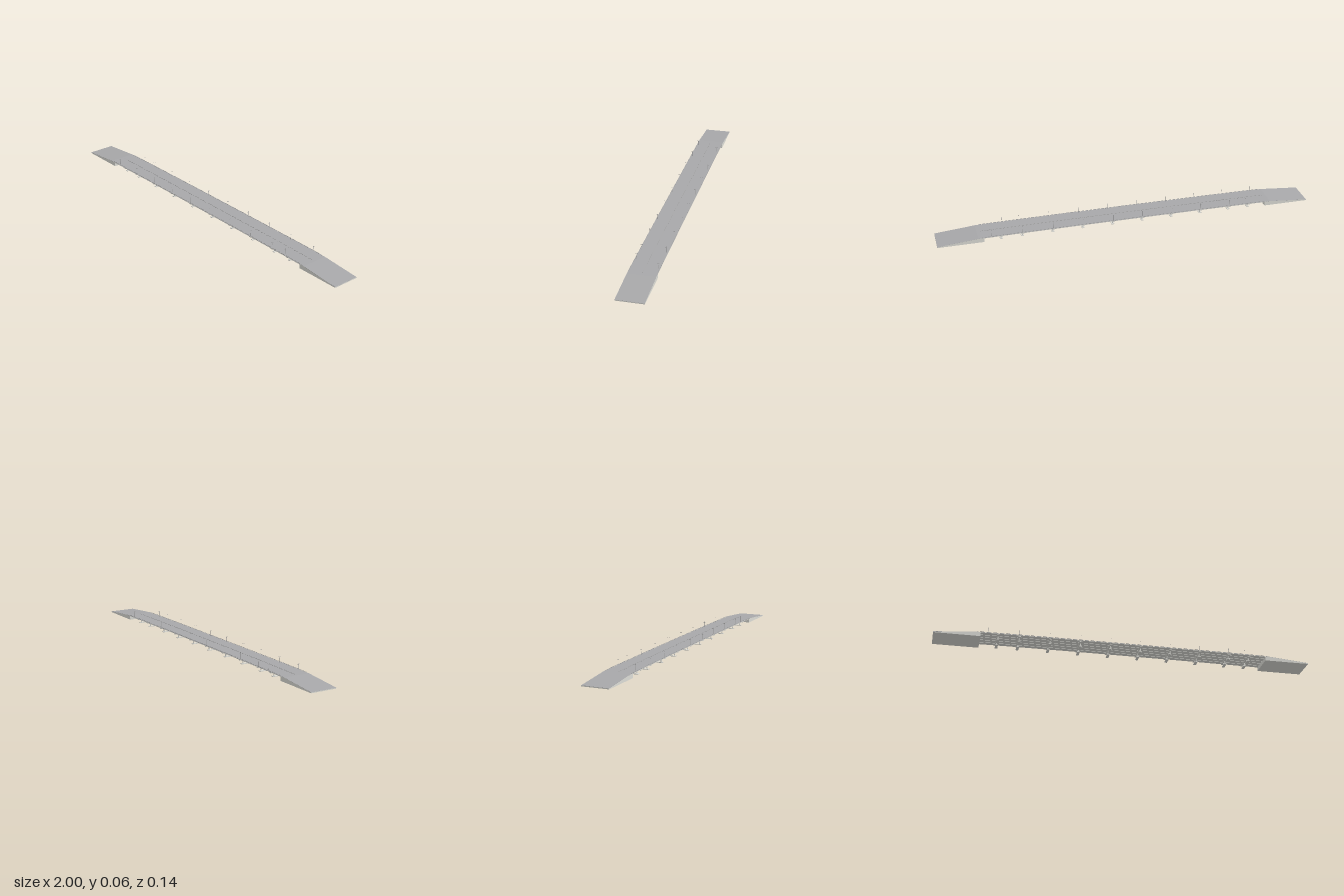
import * as THREE from 'three';

const mat = (name, color) => {
  const m = new THREE.MeshStandardMaterial({ color });
  m.name = name;
  return m;
};

export function createModel() {
  const asphalt = mat('asphalt', 0xa8a8aa);
  const concrete = mat('concrete', 0xdcdcd6);
  const steel = mat('galvanisedSteel', 0xa6a6a6);

  const bridge = new THREE.Group();
  bridge.name = 'bridge';
  const HALF = 0.0715;

  const add = (parent, name, geo, material, x = 0, y = 0, z = 0) => {
    const m = new THREE.Mesh(geo, material);
    m.name = name;
    m.position.set(x, y, z);
    parent.add(m);
    return m;
  };
  const box = (parent, name, material, w, h, d, x, y, z) =>
    add(parent, name, new THREE.BoxGeometry(w, h, d), material, x, y, z);
  // Side profile swept across the width
  const sweep = (name, pts, halfWidth, material) => {
    const shape = new THREE.Shape(pts.map(([x, y]) => new THREE.Vector2(x, y)));
    const geo = new THREE.ExtrudeGeometry(shape, { depth: halfWidth * 2, bevelEnabled: false });
    geo.translate(0, 0, -halfWidth);
    return add(bridge, name, geo, material);
  };

  // Road surface height along the bridge
  const profile = [[0, 0.0305], [0.3, 0.0303], [0.6, 0.0292], [0.7, 0.0284], [0.79, 0.0272], [1, 0.009]];
  const roadY = (x) => {
    const a = Math.abs(x);
    for (let i = 1; i < profile.length; i++) {
      const [x0, y0] = profile[i - 1], [x1, y1] = profile[i];
      if (a <= x1) return y0 + ((y1 - y0) * (a - x0)) / (x1 - x0);
    }
    return profile[profile.length - 1][1];
  };
  const stations = [-1, -0.79, -0.7, -0.6, -0.3, 0, 0.3, 0.6, 0.7, 0.79, 1];
  // Layer following the road between two depths below its surface
  const layer = (name, xs, bottom, top, halfWidth, material) => sweep(name, [
    ...xs.map((x) => [x, roadY(x) - bottom]),
    ...[...xs].reverse().map((x) => [x, roadY(x) - top]),
  ], halfWidth, material);

  // Concrete slab with asphalt surfacing
  layer('deckSlab', stations, 0.003, 0.0005, HALF, concrete);
  layer('roadSurface', stations, 0.0005, 0, HALF, asphalt);

  // Solid approach abutments
  for (const s of [-1, 1]) {
    const pts = [[s, 0.004], [s * 0.76, 0.004], [s * 0.76, 0.0246], [s * 0.79, 0.0244], [s, 0.0062]];
    sweep('abutment', pts, HALF - 0.0002, concrete);
  }

  // Longitudinal girders beneath the deck
  const span = [-0.76, ...stations.filter((x) => Math.abs(x) < 0.75), 0.76];
  for (const z of [-0.045, -0.015, 0.015, 0.045]) {
    layer('girder', span, 0.005, 0.002, 0.0015, concrete).position.z = z;
  }

  // Piers: cross cap, twin columns per side, footings
  const pierX = [-0.67, -0.56, -0.4, -0.24, -0.08, 0.08, 0.24, 0.4, 0.56, 0.67];
  const columnGeo = new THREE.CylinderGeometry(0.003, 0.003, 0.02, 10);
  for (const x of pierX) {
    const pier = new THREE.Group();
    pier.name = 'pier';
    pier.position.x = x;
    bridge.add(pier);
    box(pier, 'pierCap', concrete, 0.014, 0.0035, 0.136, 0, roadY(x) - 0.0068, 0);
    for (const s of [-1, 1]) {
      box(pier, 'footing', concrete, 0.014, 0.0035, 0.044, 0, 0.00175, s * 0.033);
      for (const z of [0.02, 0.046]) add(pier, 'column', columnGeo, concrete, 0, 0.0125, s * z);
    }
  }

  // Guard rails along both edges and the median
  const postGeo = new THREE.BoxGeometry(0.003, 0.003, 0.0015);
  const railX = [-0.77, -0.7, -0.6, -0.3, 0, 0.3, 0.6, 0.7, 0.77];
  for (const z of [-0.0695, 0, 0.0695]) {
    const rail = new THREE.Group();
    rail.name = z === 0 ? 'medianRail' : 'edgeRail';
    bridge.add(rail);
    for (let i = 1; i < railX.length; i++) {
      const a = railX[i - 1], b = railX[i], ya = roadY(a), yb = roadY(b);
      const bar = box(rail, 'railBar', steel, Math.hypot(b - a, yb - ya), 0.0009, 0.0014,
        (a + b) / 2, (ya + yb) / 2 + 0.0026, z);
      bar.rotation.z = Math.atan2(yb - ya, b - a);
    }
    const posts = 77;
    for (let i = 0; i <= posts; i++) {
      const x = -0.77 + (1.54 * i) / posts;
      add(rail, 'railPost', postGeo, steel, x, roadY(x) + 0.0012, z);
    }
  }

  // Lamp posts with a crossing double arm
  const mastGeo = new THREE.CylinderGeometry(0.0006, 0.0009, 0.03, 8);
  for (const s of [-1, 1]) {
    for (const along of [-0.65, -0.56, -0.4, -0.24, -0.08, 0.08, 0.24, 0.4, 0.56, 0.72]) {
      const lamp = new THREE.Group();
      lamp.name = 'lampPost';
      lamp.position.set(-s * along, 0, s * 0.062);
      bridge.add(lamp);
      add(lamp, 'lampMast', mastGeo, steel, 0, 0.0445, 0);
      box(lamp, 'lampArm', steel, 0.0008, 0.0008, 0.009, 0, 0.0582, 0);
      for (const t of [-1, 1]) box(lamp, 'lampHead', steel, 0.0014, 0.0014, 0.003, 0, 0.0574, t * 0.0042);
      box(lamp, 'lampCap', steel, 0.001, 0.002, 0.001, 0, 0.0595, 0);
    }
  }
  return bridge;
}
